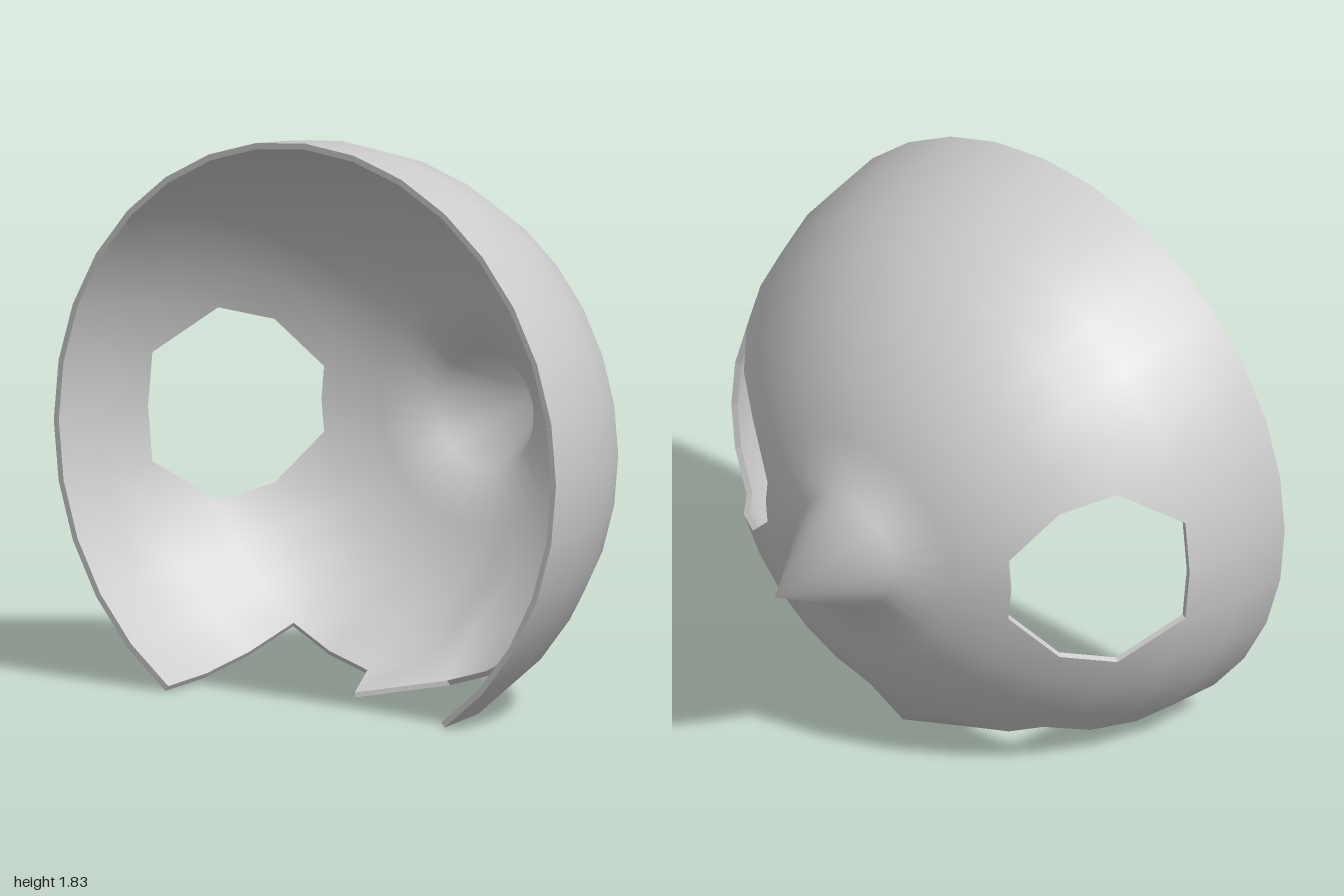
import * as THREE from 'three';

const RINGS = 8, SEGS = 32, STEP = Math.PI / 16;
const CY = 0.8315, CZ = 0.67, INNER = 0.98;

// Half dome around the z axis: ring 0 is the nose tip, ring 8 the front rim
function gridPoint(i, j) {
  if (i === 0) return new THREE.Vector3(0, 0, -1.34);                 // pointed nose
  if (j === 24 && i === 5) return new THREE.Vector3(0, -0.8315, -0.27); // chin tip
  if (j === 24 && i === 4) return new THREE.Vector3(0, -0.782, -0.70);  // chin root
  const r = Math.sin(i * STEP);
  return new THREE.Vector3(r * Math.cos(j * STEP), r * Math.sin(j * STEP), -Math.cos(i * STEP));
}

const index = (i, j) => (i === 0 ? 0 : 1 + (i - 1) * SEGS + ((j + SEGS) % SEGS));

// Cells left out: [ring, first segment, last segment]
const gaps = [
  [2, -1, 0], [3, -2, 1], [4, -2, 1],        // left eye
  [3, 15, 16], [4, 14, 17], [5, 15, 16],     // right eye
  [5, 21, 26], [6, 21, 26], [7, 21, 26],     // open jaw
];
const isGap = (i, j) => gaps.some(([r, a, b]) =>
  r === i && ((j >= a && j <= b) || (j - SEGS >= a && j - SEGS <= b)));

// Cells at the eye corners keep one triangle; the value is the dropped corner
const cuts = { '2,1': 3, '2,30': 2, '3,17': 3, '3,14': 2, '5,17': 0, '5,14': 1 };

function dome() {
  const points = [gridPoint(0, 0)];
  for (let i = 1; i <= RINGS; i++)
    for (let j = 0; j < SEGS; j++) points.push(gridPoint(i, j));

  const tris = [];
  for (let i = 0; i < RINGS; i++) {
    for (let j = 0; j < SEGS; j++) {
      const c = [index(i, j), index(i, j + 1), index(i + 1, j + 1), index(i + 1, j)];
      const drop = cuts[`${i},${j}`];
      if (drop !== undefined) {
        tris.push(c.filter((_, k) => k !== drop));
      } else if (!isGap(i, j)) {
        if (i > 0) tris.push([c[0], c[1], c[3]]);
        tris.push([c[1], c[2], c[3]]);
      }
    }
  }
  return { points, tris };
}

function surface(points, tris) {
  const g = new THREE.BufferGeometry().setFromPoints(points);
  if (tris) g.setIndex(tris.flat());
  g.computeVertexNormals();
  return g;
}

// Narrow walls joining outer and inner skins along every open edge
function edgeWalls(outer, inner, tris) {
  const edges = new Set();
  const list = tris.flatMap(([a, b, c]) => [[a, b], [b, c], [c, a]]);
  list.forEach(([a, b]) => edges.add(`${a},${b}`));
  const verts = [];
  for (const [a, b] of list) {
    if (edges.has(`${b},${a}`)) continue;
    verts.push(outer[b], outer[a], inner[a], outer[b], inner[a], inner[b]);
  }
  return surface(verts);
}

export function createModel() {
  const group = new THREE.Group();
  group.name = 'mask';
  const material = new THREE.MeshStandardMaterial({ color: 0xcccccc });
  const add = (name, geometry) => {
    const mesh = new THREE.Mesh(geometry, material);
    mesh.name = name;
    mesh.position.set(0, CY, CZ);
    group.add(mesh);
  };

  const { points, tris } = dome();
  const inner = points.map((p) => p.clone().multiplyScalar(INNER));

  add('outerShell', surface(points, tris));
  add('innerShell', surface(inner, tris.map(([a, b, c]) => [a, c, b])));
  add('rimAndOpeningEdges', edgeWalls(points, inner, tris));
  return group;
}
